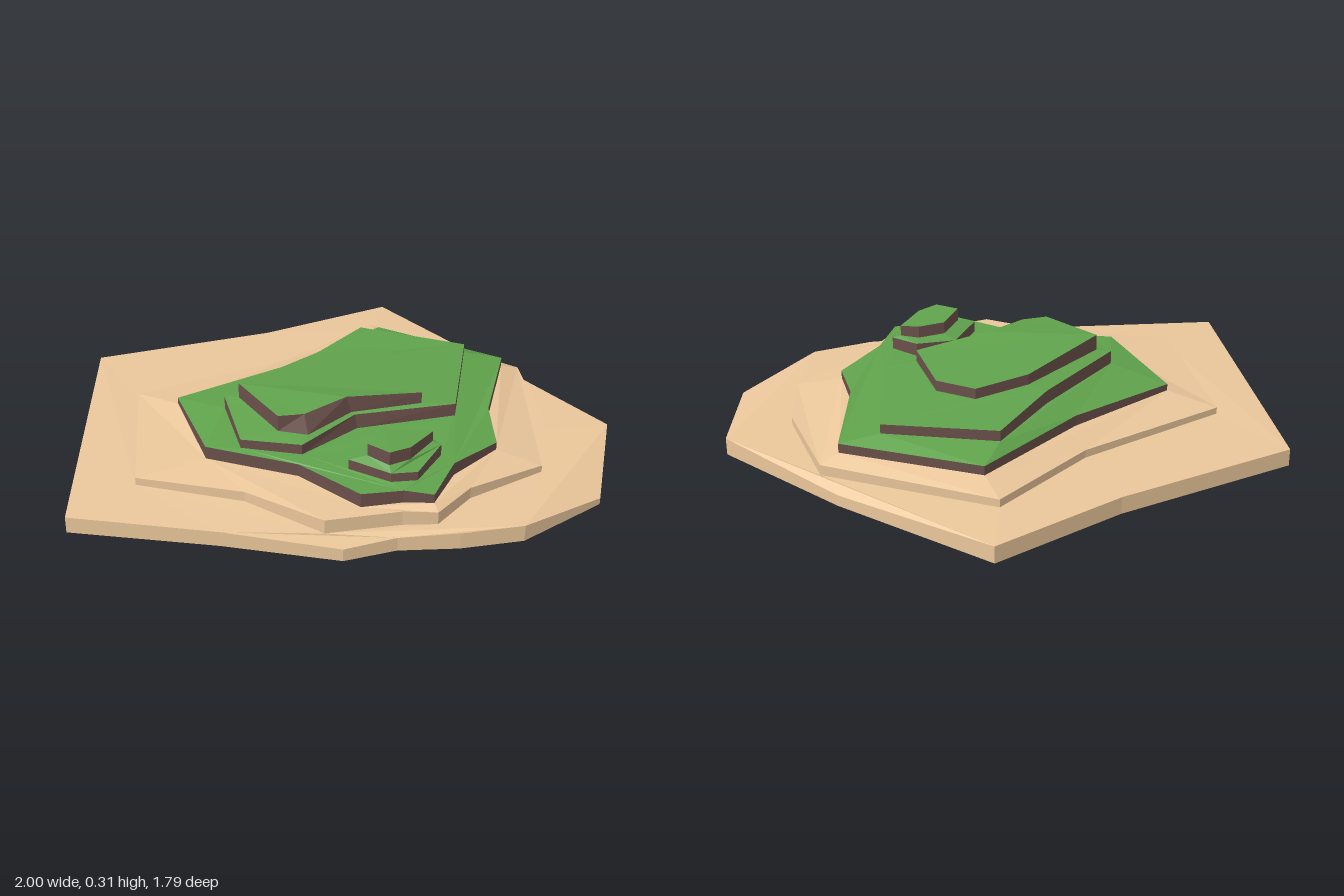
import * as THREE from 'three';

const material = (color) => new THREE.MeshStandardMaterial({ color, flatShading: true, side: THREE.DoubleSide });

// Outline corners: [x, z, wall bottom y, wall top y, (top x, top z where the wall leans)]
const shore = [
  [-1, 0.05, 0, 0.065], [-0.57, -0.47, 0, 0.065], [-0.3, -0.9, 0, 0.065], [0.32, -0.8, 0, 0.042],
  [0.84, -0.66, 0, 0.065], [1, -0.29, 0, 0.026], [0.88, 0.04, 0, 0.065], [0.72, 0.2, 0, 0.065],
  [0.55, 0.33, 0, 0.055], [0.43, 0.48, 0, 0.05], [0.04, 0.65, 0, 0.06], [-0.44, 0.89, 0, 0.065],
];
const dune = [
  [-0.69, 0.19, 0.065, 0.09], [-0.37, -0.29, 0.07, 0.1], [-0.23, -0.7, 0.075, 0.105], [0.41, -0.75, 0.07, 0.11],
  [0.67, -0.49, 0.07, 0.1], [0.78, -0.26, 0.068, 0.095], [0.65, 0.02, 0.07, 0.115], [0.63, 0.2, 0.065, 0.115],
  [0.53, 0.27, 0.063, 0.12], [0.34, 0.46, 0.065, 0.12], [0.02, 0.48, 0.075, 0.115], [-0.35, 0.62, 0.075, 0.105],
];
const meadow = [
  [-0.5, 0.19, 0.12, 0.145], [-0.29, -0.18, 0.12, 0.16], [-0.14, -0.62, 0.13, 0.165], [0.37, -0.69, 0.135, 0.17],
  [0.5, -0.36, 0.135, 0.175], [0.62, -0.21, 0.13, 0.16], [0.57, 0, 0.125, 0.175], [0.6, 0.18, 0.13, 0.165],
  [0.51, 0.23, 0.125, 0.175], [0.4, 0.33, 0.12, 0.175], [0.13, 0.31, 0.125, 0.175], [-0.2, 0.41, 0.125, 0.175],
];
const terrace = [
  [-0.28, 0.19, 0.185, 0.235], [-0.18, -0.18, 0.185, 0.235], [-0.14, -0.49, 0.19, 0.23], [0.25, -0.61, 0.195, 0.23],
  [0.43, -0.24, 0.185, 0.235], [0.18, 0.02, 0.18, 0.235, 0.17, 0.02], [0.11, 0.26, 0.18, 0.22],
  [-0.09, 0.35, 0.18, 0.215],
];
const summit = [
  [-0.23, 0.17, 0.24, 0.3], [-0.11, -0.18, 0.245, 0.285], [0.02, -0.34, 0.24, 0.28], [0.17, -0.34, 0.24, 0.28],
  [0.33, -0.17, 0.24, 0.285], [0.155, 0.02, 0.24, 0.305, 0.14, 0.03], [0.1, 0.21, 0.23, 0.295, 0.07, 0.19],
  [0, 0.25, 0.23, 0.293],
];
const knoll = [
  [0.29, 0.07, 0.18, 0.22], [0.4, -0.03, 0.18, 0.23], [0.51, -0.01, 0.18, 0.225],
  [0.52, 0.16, 0.18, 0.215], [0.45, 0.22, 0.18, 0.215], [0.29, 0.24, 0.18, 0.22],
];
const knollTop = [
  [0.34, 0.08, 0.235, 0.28], [0.41, 0.01, 0.235, 0.28], [0.48, 0, 0.235, 0.275],
  [0.47, 0.13, 0.23, 0.28], [0.43, 0.2, 0.23, 0.283], [0.34, 0.2, 0.235, 0.283],
];

const bottom = (p) => new THREE.Vector3(p[0], p[2], p[1]);
const top = (p) => new THREE.Vector3(p[4] ?? p[0], p[3], p[5] ?? p[1]);

function facets(triangles) {
  return new THREE.BufferGeometry().setFromPoints(triangles);
}

// Upright band around an outline
function wallGeometry(outline) {
  const points = [];
  outline.forEach((p, i) => {
    const q = outline[(i + 1) % outline.length];
    points.push(bottom(q), bottom(p), top(p), bottom(q), top(p), top(q));
  });
  return facets(points);
}

// Surface from a tier's rim to the feet of the tiers standing on it
function groundGeometry(outline, holes) {
  const rim = outline.map(top);
  const feet = holes.map((hole) => hole.map(bottom));
  const flat = (list) => list.map((v) => new THREE.Vector2(v.x, v.z));
  const all = [rim, ...feet].flat();
  const points = [];
  for (const [i, j, k] of THREE.ShapeUtils.triangulateShape(flat(rim), feet.map(flat))) {
    const [a, b, c] = [all[i], all[j], all[k]];
    const up = (b.z - a.z) * (c.x - a.x) - (b.x - a.x) * (c.z - a.z) > 0;
    points.push(a, up ? b : c, up ? c : b);
  }
  return facets(points);
}

export function createModel() {
  const model = new THREE.Group();
  model.name = 'terracedIsland';
  const sand = material(0xebc79b);
  const grass = material(0x60a34c);
  const earth = material(0x6b504b);

  function addTier(name, outline, holes, groundMaterial, wallMaterial) {
    const tier = new THREE.Group();
    tier.name = name;
    const parts = [
      ['Wall', wallGeometry(outline), wallMaterial],
      ['Ground', groundGeometry(outline, holes), groundMaterial],
    ];
    for (const [suffix, geometry, mat] of parts) {
      geometry.computeVertexNormals();
      const mesh = new THREE.Mesh(geometry, mat);
      mesh.name = name + suffix;
      tier.add(mesh);
    }
    model.add(tier);
  }

  // Sandy base, hollow underneath
  addTier('shore', shore, [dune], sand, sand);
  addTier('dune', dune, [meadow], sand, sand);
  // Grassy hill
  addTier('meadow', meadow, [terrace, knoll], grass, earth);
  addTier('terrace', terrace, [summit], grass, earth);
  addTier('summit', summit, [], grass, earth);
  // Small side mound
  addTier('knoll', knoll, [knollTop], grass, earth);
  addTier('knollTop', knollTop, [], grass, earth);
  return model;
}
